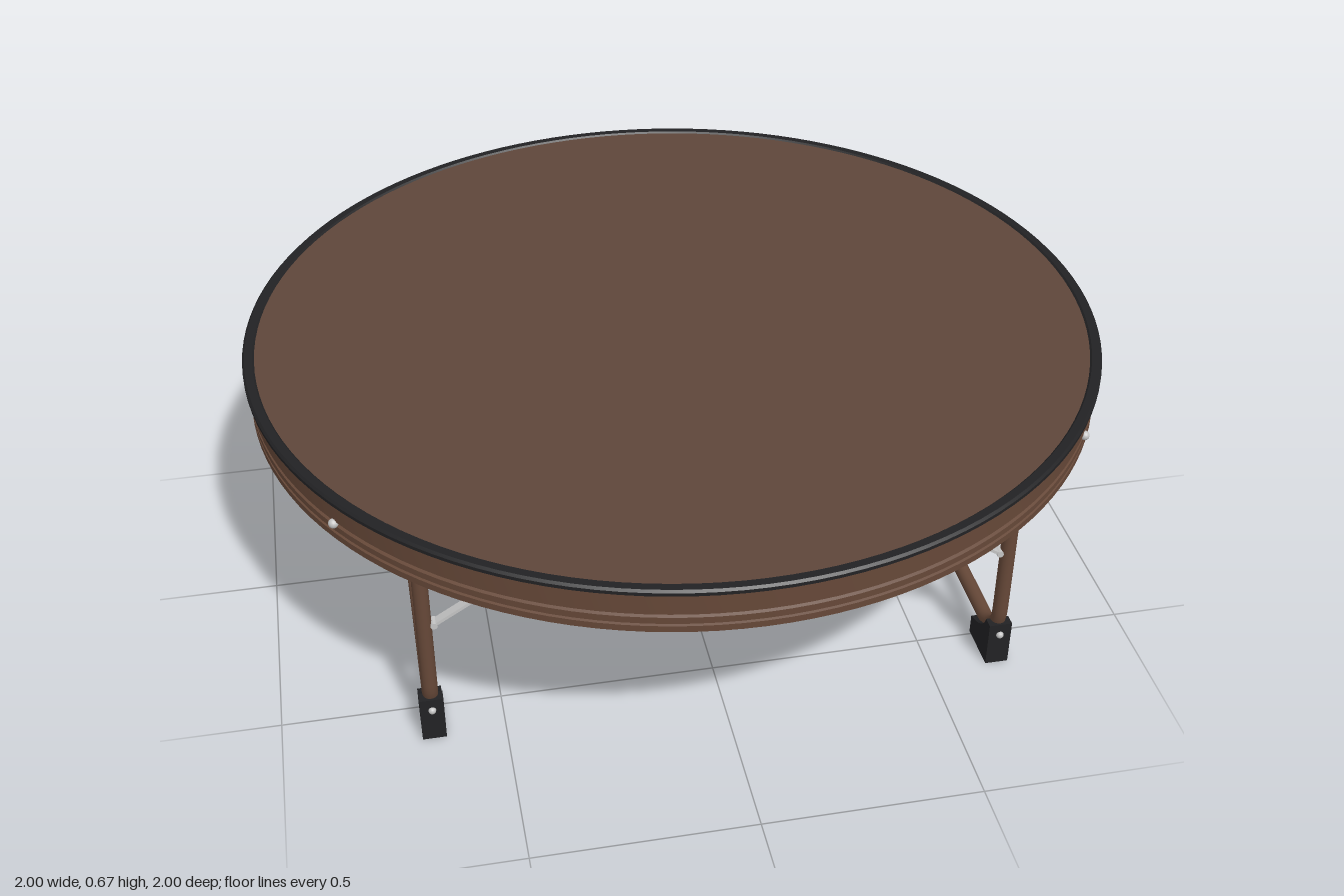
import * as THREE from 'three';
import { toCreasedNormals } from 'three/addons/utils/BufferGeometryUtils.js';

const mat = (name, color) => {
  const m = new THREE.MeshStandardMaterial({ color });
  m.name = name;
  return m;
};

export function createModel() {
  const panelBrown = mat('panelBrown', 0x5e463a);
  const frameBrown = mat('frameBrown', 0x664838);
  const black = mat('blackPlastic', 0x222224);
  const metal = mat('brightMetal', 0xc4c4c4);

  const model = new THREE.Group();
  model.name = 'foldingRoundTable';

  const add = (parent, name, geometry, material, x = 0, y = 0, z = 0) => {
    const mesh = new THREE.Mesh(geometry, material);
    mesh.name = name;
    mesh.position.set(x, y, z);
    parent.add(mesh);
    return mesh;
  };
  const lathe = (pts) => toCreasedNormals(
    new THREE.LatheGeometry(pts.map(([r, y]) => new THREE.Vector2(r, y)), 128), 0.5);

  // Table top: underside and grooved side wall, trim ring, top panel
  add(model, 'sideWall', lathe([
    [0.975, 0.559], [0.978, 0.553], [0.99, 0.553], [0.99, 0.568], [0.985, 0.57], [0.985, 0.574],
    [0.99, 0.576], [0.99, 0.59], [0.984, 0.593], [0.984, 0.598], [0.99, 0.601], [0.99, 0.652],
  ]), frameBrown);
  add(model, 'underside', lathe([[0, 0.559], [0.976, 0.559]]), panelBrown);
  add(model, 'edgeTrim', lathe([
    [0.972, 0.648], [0.994, 0.648], [0.999, 0.652], [0.999, 0.66], [0.994, 0.665],
    [0.976, 0.665], [0.972, 0.661], [0.972, 0.648],
  ]), black);
  add(model, 'topPanel', lathe([[0.975, 0.661], [0, 0.661]]), panelBrown);

  // Four rivets around the wall
  for (const sx of [-1, 1]) for (const sz of [-1, 1]) {
    add(model, 'wallRivet', new THREE.SphereGeometry(0.011, 16, 10), metal, sx * 0.825, 0.595, sz * 0.55);
  }

  // Curved, perforated plate on the wall
  const vent = new THREE.Group();
  vent.name = 'perforatedPlate';
  model.add(vent);
  add(vent, 'plate', new THREE.CylinderGeometry(0.993, 0.993, 0.05, 16, 1, true, Math.PI / 2 - 0.123, 0.246),
    metal, 0, 0.595, 0);
  for (let row = -1; row <= 1; row++) for (let i = -8; i <= 8; i++) {
    const a = i * 0.0135;
    const dot = add(vent, 'plateHole', new THREE.CircleGeometry(0.0035, 8), frameBrown,
      0.9945 * Math.cos(a), 0.595 + row * 0.014, 0.9945 * Math.sin(a));
    dot.rotation.y = Math.PI / 2 - a;
  }

  // U-shaped leg tube with rounded corners
  const v = (y, z) => new THREE.Vector3(0, y, z);
  const legPath = new THREE.CurvePath();
  legPath.add(new THREE.LineCurve3(v(0.556, 0.59), v(0.15, 0.59)));
  legPath.add(new THREE.CubicBezierCurve3(v(0.15, 0.59), v(0.1, 0.59), v(0.06, 0.55), v(0.06, 0.5)));
  legPath.add(new THREE.LineCurve3(v(0.06, 0.5), v(0.06, -0.5)));
  legPath.add(new THREE.CubicBezierCurve3(v(0.06, -0.5), v(0.06, -0.55), v(0.1, -0.59), v(0.15, -0.59)));
  legPath.add(new THREE.LineCurve3(v(0.15, -0.59), v(0.556, -0.59)));
  const legTube = new THREE.TubeGeometry(legPath, 120, 0.0175, 16, false);

  // Foot profile across the corner, extruded to its width
  const footShape = new THREE.Shape();
  footShape.moveTo(0.49, 0);
  footShape.lineTo(0.607, 0);
  footShape.lineTo(0.607, 0.115);
  footShape.lineTo(0.58, 0.115);
  footShape.quadraticCurveTo(0.568, 0.07, 0.49, 0.048);
  footShape.closePath();
  const footGeo = new THREE.ExtrudeGeometry(footShape, { depth: 0.054, bevelEnabled: false, curveSegments: 8 });
  footGeo.translate(0, 0, -0.027).rotateY(-Math.PI / 2);

  // Chamfered bracket where the leg meets the top
  const capShape = new THREE.Shape([[-0.026, -0.02], [-0.016, -0.033], [0.016, -0.033], [0.026, -0.02],
    [0.026, 0.02], [0.016, 0.033], [-0.016, 0.033], [-0.026, 0.02]].map(([x, y]) => new THREE.Vector2(x, y)));
  const capGeo = new THREE.ExtrudeGeometry(capShape, { depth: 0.025, bevelEnabled: false });
  capGeo.rotateX(-Math.PI / 2);

  // Folding strut, as two flat bars with pins
  const ends = [[-0.022, 0.325], [-0.215, 0.445], [-0.39, 0.561]];
  const addStrut = (parent, z) => {
    const strut = new THREE.Group();
    strut.name = 'foldingStrut';
    strut.position.z = z;
    parent.add(strut);
    for (let i = 0; i < 2; i++) {
      const [x0, y0] = ends[i], [x1, y1] = ends[i + 1];
      const bar = add(strut, 'strutBar', new THREE.BoxGeometry(Math.hypot(x1 - x0, y1 - y0) + 0.01, 0.007, 0.022),
        metal, (x0 + x1) / 2, (y0 + y1) / 2, 0);
      bar.rotation.z = Math.atan2(y1 - y0, x1 - x0);
    }
    for (const [x, y] of ends.slice(0, 2)) {
      add(strut, 'strutPin', new THREE.CylinderGeometry(0.008, 0.008, 0.026, 12).rotateX(Math.PI / 2), metal, x, y, 0);
    }
  };

  // Two leg frames, the second turned half round
  for (const side of [1, -1]) {
    const frame = new THREE.Group();
    frame.name = side > 0 ? 'leftLegFrame' : 'rightLegFrame';
    frame.position.x = side * 0.662;
    frame.rotation.y = side > 0 ? 0 : Math.PI;
    model.add(frame);
    add(frame, 'legTube', legTube, frameBrown);
    for (const s of [1, -1]) {
      add(frame, 'foot', footGeo, black).rotation.y = s > 0 ? 0 : Math.PI;
      add(frame, 'footRivet', new THREE.SphereGeometry(0.009, 12, 8), metal, 0, 0.085, s * 0.607);
      add(frame, 'legBracket', capGeo, black, 0, 0.535, s * 0.588);
      addStrut(frame, s * 0.59);
    }
  }
  return model;
}
